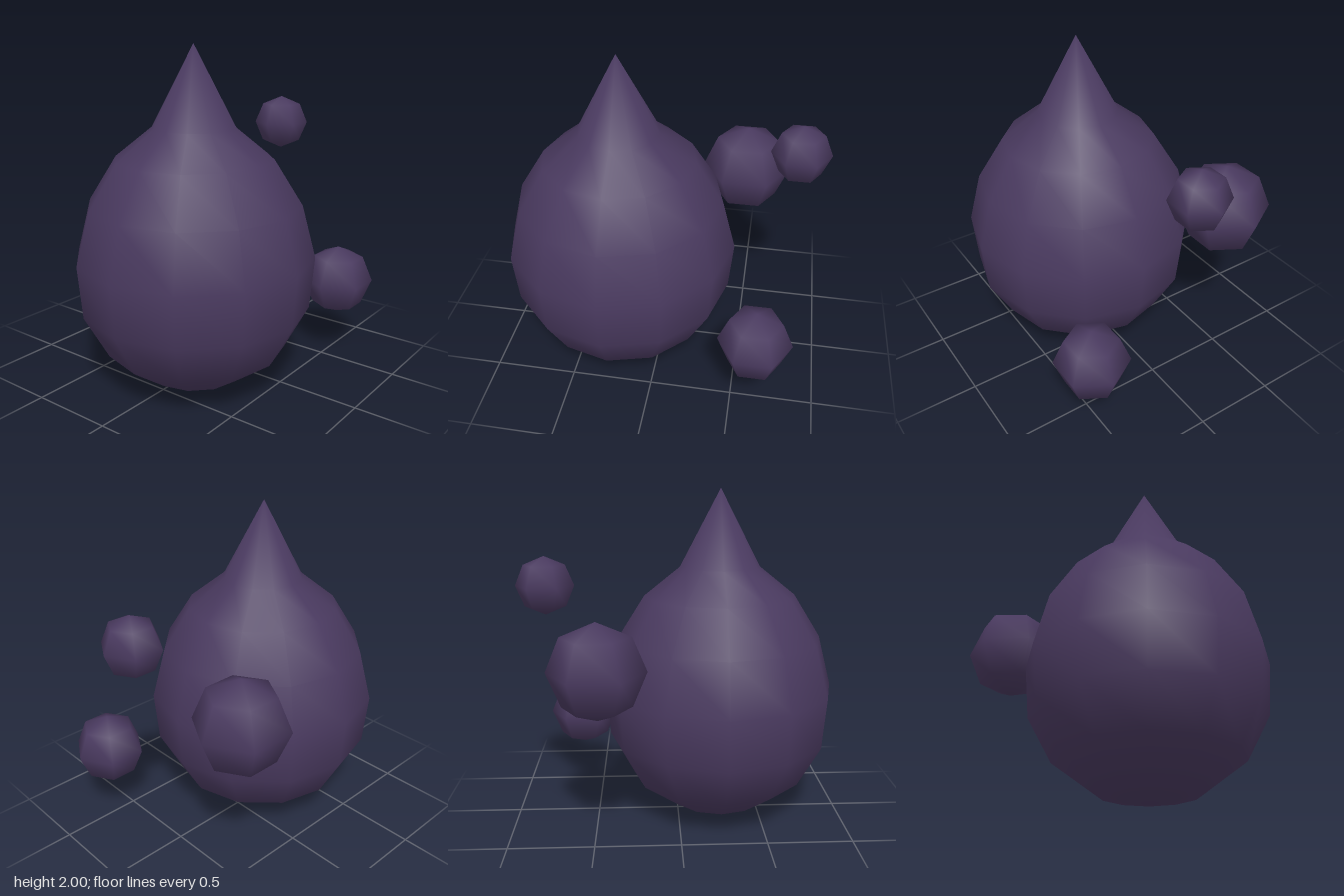
import * as THREE from 'three';
import { mergeVertices } from 'three/addons/utils/BufferGeometryUtils.js';

// Turned shape from a bottom-to-top profile, with welded smooth normals
function smoothLathe(points, sides) {
  const lathe = new THREE.LatheGeometry(points, sides);
  lathe.deleteAttribute('uv');
  lathe.deleteAttribute('normal');
  const geometry = mergeVertices(lathe, 1e-4);
  geometry.computeVertexNormals();
  return geometry;
}

// Half-circle profile; taper narrows the top and widens the bottom
function ballProfile(radius, halfHeight, rings, taper = 0) {
  const points = [];
  for (let i = 0; i <= rings; i++) {
    const a = (i / rings) * Math.PI;
    const up = -Math.cos(a);
    const r = i === 0 || i === rings ? 0 : radius * Math.sin(a) * (1 - taper * up);
    points.push(new THREE.Vector2(r, up * halfHeight));
  }
  return points;
}

export function createModel() {
  const group = new THREE.Group();
  const purple = new THREE.MeshStandardMaterial({ color: 0x4a3a60 });
  purple.name = 'dark purple';

  // Large teardrop: an egg whose top point is pulled up into a spike
  const profile = ballProfile(0.7, 0.8, 8, 0.11);
  profile[8].y = 1.2;
  const body = new THREE.Mesh(smoothLathe(profile, 12), purple);
  body.name = 'teardropBody';
  body.position.set(0.05, 0.8, 0.255);
  group.add(body);

  // Loose droplets trailing behind
  const droplets = [
    ['largeDroplet', 0.277, -0.51, 1.043, -0.463],
    ['mediumDroplet', 0.22, 0.53, 0.485, -0.623],
    ['smallDroplet', 0.173, -0.03, 1.443, -0.784],
  ];
  for (const [name, radius, x, y, z] of droplets) {
    const droplet = new THREE.Mesh(smoothLathe(ballProfile(radius, radius, 4), 6), purple);
    droplet.name = name;
    droplet.position.set(x, y, z);
    group.add(droplet);
  }
  return group;
}
